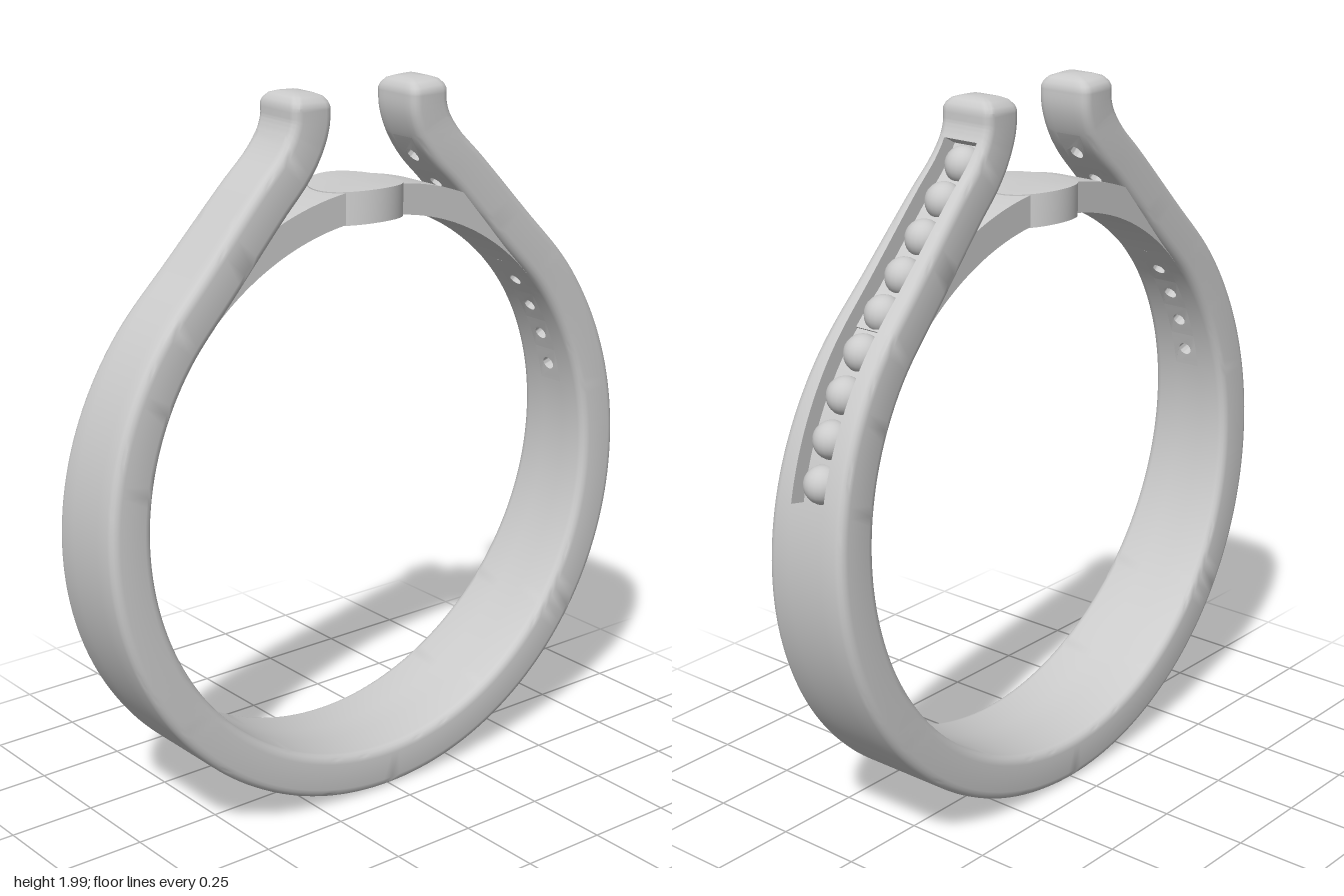
import * as THREE from 'three';
import { toCreasedNormals } from 'three/addons/utils/BufferGeometryUtils.js';

const CY = 0.89, R = 0.8225, H = 0.0625;          // ring centre, mid radius, half thickness
const STONES = 9, SUB = 4, GROOVE = 0.045, STRIP = 0.04;
const mat = new THREE.MeshStandardMaterial({ color: 0xcccccc, side: THREE.DoubleSide });

// Centre line: left tip, down around the bottom, up to the right tip
function makePath() {
  const half = [];
  for (let i = 0; i <= 16; i++) {
    const a = THREE.MathUtils.degToRad(-90 + (128.8 * i) / 16);
    half.push([R * Math.cos(a), CY + R * Math.sin(a)]);
  }
  half.push([0.51, 1.545], [0.337, 1.73], [0.262, 1.805], [0.22, 1.865], [0.2, 1.92], [0.198, 1.965]);
  const left = half.slice(1).reverse().map(([x, y]) => [-x, y]);
  const curve = new THREE.CatmullRomCurve3([...left, ...half].map(([x, y]) => new THREE.Vector3(x, y, 0)));
  curve.arcLengthDivisions = 2000;
  return curve;
}

// Point at distance n outward from the centre line
function place(path, u, n, z, along = 0) {
  const p = path.getPointAt(u), t = path.getTangentAt(u);
  return new THREE.Vector3(p.x + t.y * n + t.x * along, p.y - t.x * n + t.y * along, z);
}

function uAtHeight(path, y) {
  let a = 0.5, b = 1;
  for (let i = 0; i < 40; i++) {
    const m = (a + b) / 2;
    if (path.getPointAt(m).y < y) a = m; else b = m;
  }
  return a;
}

// Rounded section with an optional groove in its outer side
function section(w, groove) {
  const r = 0.025, pts = [[-H, -STRIP], [-H, STRIP]];
  const corner = (n, z, a0) => {
    for (let i = 0; i <= 4; i++) {
      const a = a0 + (i * Math.PI) / 8;
      pts.push([n - r * Math.cos(a), z + r * Math.sin(a)]);
    }
  };
  corner(-H + r, w - r, 0);
  corner(H - r, w - r, Math.PI / 2);
  const d = groove ? GROOVE : 0;
  pts.push([H, 0.055], [H - d, 0.055], [H - d, -0.055], [H, -0.055]);
  corner(H - r, -w + r, Math.PI);
  corner(-H + r, -w + r, Math.PI * 1.5);
  return pts;
}

function makeBand(path, uA, uB) {
  // Stations along the band; perforated ones leave out the inner centre strip
  const st = [];
  const run = (a, b, n, perforated, groove) => {
    for (let i = 0; i <= n; i++) st.push({ u: a + ((b - a) * i) / n, perforated: perforated && i < n, groove, e: 0, k: 1 });
  };
  const cap = [[0.012, 0.004], [0.025, 0.014], [0.032, 0.03], [0.035, H]];
  [...cap].reverse().forEach(([e, inset]) => st.push({ u: 0, e: -e, k: 1 - inset / H }));
  run(0, 1 - uB, 12);
  run(1 - uB, 1 - uA, STONES * SUB, true, false);
  run(1 - uA, uA, 110);
  run(uA, uB, STONES * SUB, true, true);
  run(uB, 1, 12);
  cap.forEach(([e, inset]) => st.push({ u: 1, e, k: 1 - inset / H }));

  const pos = [], idx = [];
  let m = 0;
  st.forEach((s) => {
    const w = Math.max(0.085, 0.173 - 0.047 * path.getPointAt(s.u).y);
    const sec = section(w, s.groove);
    m = sec.length;
    sec.forEach(([n, z]) => pos.push(...place(path, s.u, n * s.k, z * s.k, s.e).toArray()));
  });
  for (let i = 0; i < st.length - 1; i++) {
    for (let j = 0; j < m; j++) {
      if (j === 0 && st[i].perforated) continue;
      const a = i * m + j, b = i * m + ((j + 1) % m), c = a + m, d = b + m;
      idx.push(a, c, b, b, c, d);
    }
  }
  const g = new THREE.BufferGeometry();
  g.setAttribute('position', new THREE.Float32BufferAttribute(pos, 3));
  g.setIndex(idx);
  return toCreasedNormals(g, 0.6);
}

// One piece of the inner wall with a drilled hole, bent onto the path
function makeHoleCell(path, u0, u1) {
  const L = path.getLength(), len = (u1 - u0) * L;
  const shape = new THREE.Shape();
  shape.moveTo(0, -STRIP);
  for (let i = 1; i <= SUB; i++) shape.lineTo((len * i) / SUB, -STRIP);
  for (let i = SUB; i >= 0; i--) shape.lineTo((len * i) / SUB, STRIP);
  const hole = new THREE.Path();
  hole.absarc(len / 2, 0, 0.02, 0, Math.PI * 2, true);
  shape.holes.push(hole);
  const g = new THREE.ExtrudeGeometry(shape, { depth: 0.075, bevelEnabled: false, curveSegments: 16 });
  const p = g.attributes.position;
  for (let i = 0; i < p.count; i++) {
    const v = place(path, Math.min(1, u0 + p.getX(i) / L), -H + p.getZ(i), p.getY(i));
    p.setXYZ(i, v.x, v.y, v.z);
  }
  return toCreasedNormals(g, 0.6);
}

// Arched bridge between the arms
function makeBridge() {
  const a = THREE.MathUtils.degToRad(47), s = new THREE.Shape();
  s.absarc(0, CY, 0.845, Math.PI / 2 - a, Math.PI / 2 + a, false);
  s.absarc(0, CY, 0.76, Math.PI / 2 + a, Math.PI / 2 - a, true);
  const g = new THREE.ExtrudeGeometry(s, { depth: 0.17, bevelEnabled: false, curveSegments: 40 });
  g.translate(0, 0, -0.085);
  return toCreasedNormals(g, 0.6);
}

// Round plate bent to the same arch
function makePlate() {
  const g = new THREE.CylinderGeometry(0.13, 0.13, 1, 48);
  const p = g.attributes.position;
  for (let i = 0; i < p.count; i++) {
    const r = p.getY(i) > 0 ? 0.848 : 0.758;
    p.setY(i, CY + Math.sqrt(r * r - p.getX(i) ** 2));
  }
  return toCreasedNormals(g, 0.6);
}

export function createModel() {
  const model = new THREE.Group();
  const add = (geo, name, parent = model) => {
    const mesh = new THREE.Mesh(geo, mat);
    mesh.name = name;
    parent.add(mesh);
    return mesh;
  };
  const path = makePath();
  const uA = uAtHeight(path, 1.05), uB = uAtHeight(path, 1.865), step = (uB - uA) / STONES;

  add(makeBand(path, uA, uB), 'band');
  add(makeBridge(), 'bridge');
  add(makePlate(), 'bridgePlate');

  // Drilled inner walls on both arms, stones in the left arm's groove
  const holes = new THREE.Group(), stones = new THREE.Group();
  holes.name = 'drilledInnerWalls';
  stones.name = 'stones';
  model.add(holes, stones);
  const stoneGeo = new THREE.SphereGeometry(0.051, 20, 14);
  for (let i = 0; i < STONES; i++) {
    const u0 = uA + i * step, u1 = u0 + step;
    add(makeHoleCell(path, u0, u1), 'leftHole', holes);
    add(makeHoleCell(path, 1 - u1, 1 - u0), 'rightHole', holes);
    add(stoneGeo, 'stone', stones).position.copy(place(path, (u0 + u1) / 2, H - 0.048, 0));
  }
  return model;
}
